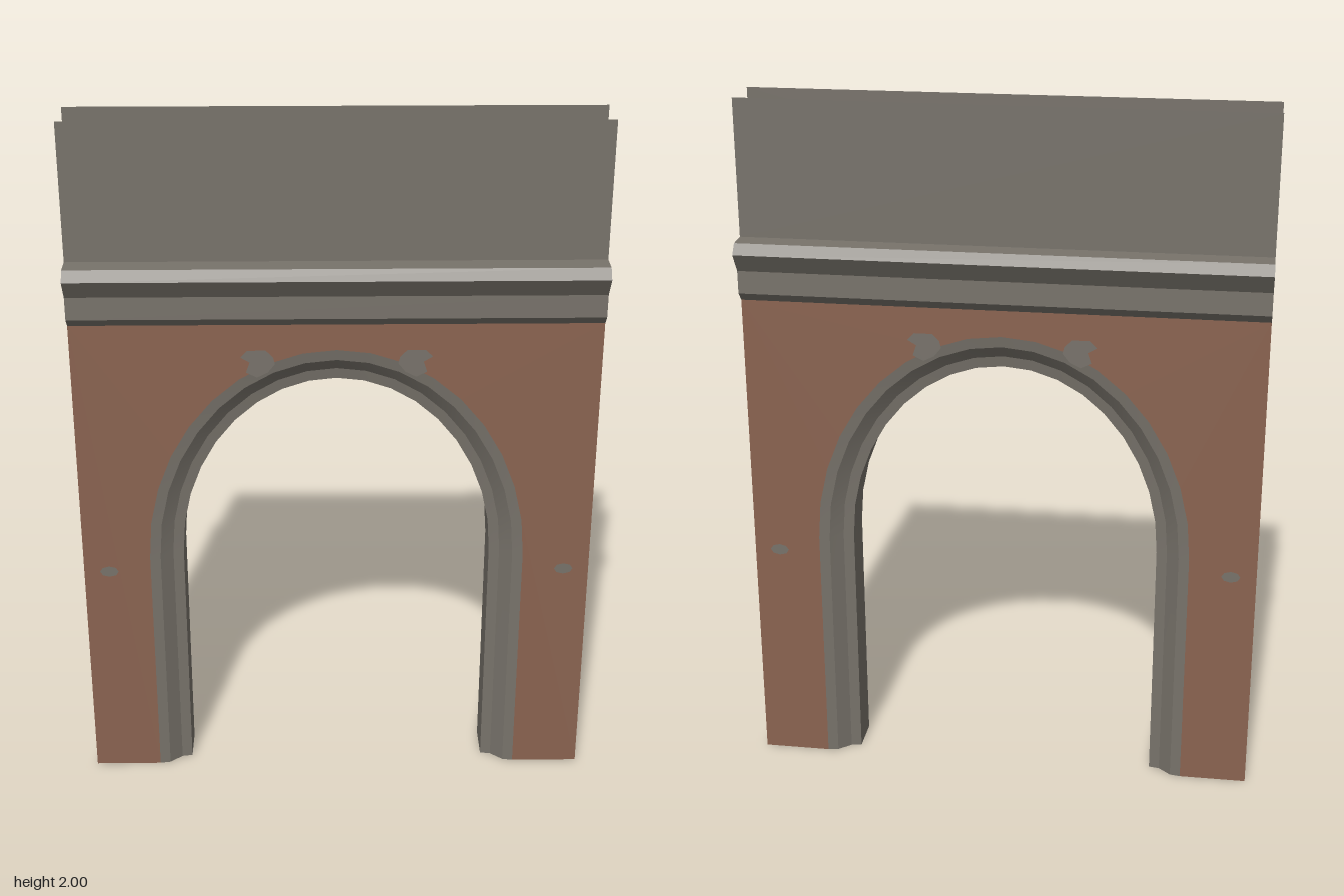
import * as THREE from 'three';

const stone = new THREE.MeshStandardMaterial({ color: 0x77726a, side: THREE.DoubleSide });
stone.name = 'grey stone';
const brick = new THREE.MeshStandardMaterial({ color: 0x8a6350, side: THREE.DoubleSide });
brick.name = 'red brown brick';

const HALF = 0.733;      // half width of the facade
const WALL_Z = 0.095;    // distance of each facade from the middle
const WALL_TOP = 1.44;
const SPRING = 0.72;     // height where the arch starts to curve

// Arch outline, grown outwards by an offset
function archPoints(offset) {
  const a = 0.445 + offset, b = 0.545 + offset * 1.05, n = 18;
  const pts = [[a, 0], [a, SPRING * 0.5]];
  for (let i = 0; i <= n; i++) {
    const t = (i / n) * Math.PI;
    pts.push([a * Math.cos(t), SPRING + b * Math.sin(t)]);
  }
  pts.push([-a, SPRING * 0.5], [-a, 0]);
  return pts;
}

// Surface between two equally long rows of 3D points
function strip(rowA, rowB) {
  const pos = [], idx = [];
  rowA.forEach((p, i) => {
    pos.push(...p, ...rowB[i]);
    if (i > 0) {
      const k = 2 * i;
      idx.push(k - 2, k - 1, k, k, k - 1, k + 1);
    }
  });
  const g = new THREE.BufferGeometry();
  g.setAttribute('position', new THREE.Float32BufferAttribute(pos, 3));
  g.setIndex(idx);
  g.computeVertexNormals();
  return g;
}

function add(parent, name, geometry, material) {
  const mesh = new THREE.Mesh(geometry, material);
  mesh.name = name;
  parent.add(mesh);
  return mesh;
}

// Flat sheets running the full width along a [z, y] profile, outward side first
function addProfile(parent, name, profile, material) {
  const group = new THREE.Group();
  group.name = name;
  for (let i = 1; i < profile.length; i++) {
    const row = ([z, y]) => [[-HALF, y, z], [HALF, y, z]];
    add(group, name + 'Face', strip(row(profile[i]), row(profile[i - 1])), material);
  }
  parent.add(group);
}

function createFacade() {
  const facade = new THREE.Group();

  // Brick wall with the arched opening cut out
  const outline = [[-HALF, 0], [-HALF, WALL_TOP], [HALF, WALL_TOP], [HALF, 0], ...archPoints(0.095)];
  const wall = new THREE.Shape(outline.map(([x, y]) => new THREE.Vector2(x, y)));
  add(facade, 'brickWall', new THREE.ShapeGeometry(wall), brick).position.z = WALL_Z;

  // Cornice, parapet and inner ledges
  addProfile(facade, 'cornice', [
    [0.022, 1.615], [0.0735, 1.615], [0.132, 1.613], [0.155, 1.585],
    [0.118, 1.53], [0.118, 1.465], [WALL_Z, WALL_TOP],
  ].reverse(), stone);
  addProfile(facade, 'parapet', [[0.0735, 1.615], [0.0735, 2]], stone);
  addProfile(facade, 'innerLedge', [[WALL_Z, 1.465], [0.04, 1.465]], brick);

  // Thin stone ornaments beside the crown and small ones on the piers
  const crest = [[0.17, 1.325], [0.175, 1.345], [0.195, 1.365], [0.245, 1.365],
    [0.265, 1.345], [0.24, 1.33], [0.25, 1.3], [0.22, 1.285], [0.19, 1.3]];
  for (const side of [1, -1]) {
    const shape = new THREE.Shape(crest.map(([x, y]) => new THREE.Vector2(side * x, y)));
    add(facade, 'crownOrnament', new THREE.ShapeGeometry(shape), stone).position.z = WALL_Z + 0.002;
    const dot = add(facade, 'pierOrnament', new THREE.CircleGeometry(1, 8), stone);
    dot.scale.set(0.027, 0.017, 1);
    dot.position.set(side * 0.66, 0.675, WALL_Z + 0.002);
  }
  return facade;
}

export function createModel() {
  const model = new THREE.Group();
  model.name = 'archway';

  const front = createFacade();
  front.name = 'frontFacade';
  const back = createFacade();
  back.name = 'backFacade';
  back.rotation.y = Math.PI;
  model.add(front, back);

  // Moulded arch surround swept through from front to back: [offset, z]
  const half = [[0.095, WALL_Z], [0.065, 0.09], [0.03, 0.06], [0, 0.055]];
  const section = [...half, [0, 0], ...half.map(([o, z]) => [o, -z]).reverse()];
  const surround = new THREE.Group();
  surround.name = 'archSurround';
  const row = ([o, z]) => archPoints(o).map(([x, y]) => [x, y, z]);
  for (let i = 1; i < section.length; i++) {
    add(surround, 'archMoulding', strip(row(section[i - 1]), row(section[i])), stone);
  }
  model.add(surround);
  return model;
}
